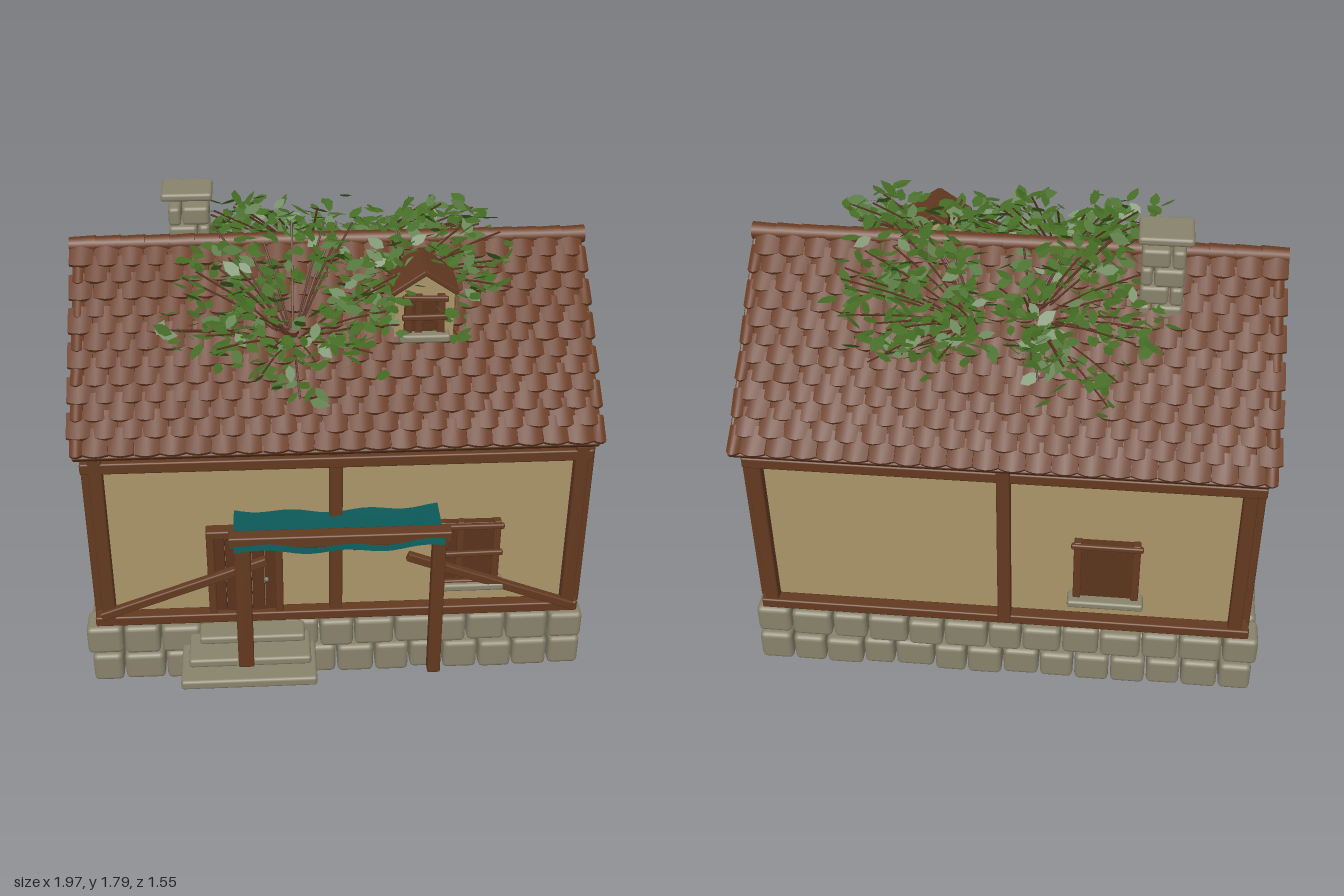
import * as THREE from 'three';
import { mergeGeometries } from 'three/addons/utils/BufferGeometryUtils.js';
import { RoundedBoxGeometry } from 'three/addons/geometries/RoundedBoxGeometry.js';

const mat = (name, color, side = THREE.FrontSide) => Object.assign(new THREE.MeshStandardMaterial({ color, side }), { name });
const M = {
  plaster: mat('plaster', 0xa99568), wood: mat('timber', 0x633920), dark: mat('dark timber', 0x5a331c),
  stone: mat('stone', 0x88826b), tile: mat('clay tile', 0x693b22), leaf: mat('leaf', 0x456c24, THREE.DoubleSide),
  bark: mat('bark', 0x5a3320), cloth: mat('teal cloth', 0x0c5858, THREE.DoubleSide), iron: mat('iron', 0x77736c),
};

let seed = 7;
const rnd = () => (seed = (seed * 16807) % 2147483647) / 2147483647;
const jit = (a) => (rnd() - 0.5) * 2 * a;

// Merge a list of geometries into one named mesh
function part(name, list, material) {
  const flat = list.map((g) => (g.index ? g.toNonIndexed() : g));
  const mesh = new THREE.Mesh(mergeGeometries(flat), material);
  mesh.name = name;
  return mesh;
}
// Softly bevelled box from its minimum and maximum corners
function block(x0, x1, y0, y1, z0, z1, r = 0.006, seg = 1) {
  return new RoundedBoxGeometry(x1 - x0, y1 - y0, z1 - z0, seg, r).translate((x0 + x1) / 2, (y0 + y1) / 2, (z0 + z1) / 2);
}
function polyShape(points) {
  return new THREE.Shape(points.map(([x, y]) => new THREE.Vector2(x, y)));
}
// Plank between two points in a front-facing plane
function plank(x0, y0, x1, y1, z, w = 0.036, d = 0.03) {
  return new RoundedBoxGeometry(Math.hypot(x1 - x0, y1 - y0), w, d, 1, 0.006)
    .rotateZ(Math.atan2(y1 - y0, x1 - x0)).translate((x0 + x1) / 2, (y0 + y1) / 2, z);
}
function tube(points, r, radial = 5, steps = 6) {
  return new THREE.TubeGeometry(new THREE.CatmullRomCurve3(points), steps, r, radial);
}

const RIDGE_Y = 1.615, RIDGE_Z = -0.11, SLOPE = 0.712, LENGTH = 0.845;
const roofY = (z) => RIDGE_Y - Math.abs(z - RIDGE_Z) * Math.tan(SLOPE);

// One curved roof tile: bulging across, rounded at its lower end
function tileGeometry(w) {
  const g = new THREE.BoxGeometry(w * 0.99, 0.1, 0.016, 4, 1, 1);
  const p = g.attributes.position;
  for (let i = 0; i < p.count; i++) {
    const c = Math.cos((p.getX(i) / w) * Math.PI);
    p.setZ(i, p.getZ(i) + 0.012 * c);
    if (p.getY(i) < 0) p.setY(i, p.getY(i) - 0.014 * c);
  }
  g.computeVertexNormals();
  return g;
}
function roofSide(dir) {
  const tiles = [], rows = 12, n = 21, w = 1.955 / n;
  for (let r = 0; r < rows; r++) {
    const half = r % 2;
    for (let i = 0; i < n + half; i++) {
      const first = half && i === 0;
      const last = half && i === n;
      const tw = first || last ? w / 2 : w;
      const x = -0.995 + (first ? w / 4 : last ? 1.955 - w / 4 : (i + 0.5 - half * 0.5) * w) + half * 0.014;
      tiles.push(tileGeometry(tw).rotateX(-0.11 + jit(0.02)).rotateZ(jit(0.03))
        .translate(dir * x, -0.035 - (r * (LENGTH - 0.095)) / (rows - 1), 0.012 + jit(0.003)));
    }
  }
  const place = (g) => {
    g.rotateX(SLOPE - Math.PI / 2);
    if (dir < 0) g.rotateY(Math.PI);
    return g.translate(0, RIDGE_Y, RIDGE_Z);
  };
  const deck = block(-0.975, 0.955, -LENGTH, 0, -0.022, 0.006);
  return [part('roofTiles', tiles.map(place), M.tile), part('roofDeck', [place(deck)], M.dark)];
}

// Shuttered window facing +z, with its base at the origin; bars lists the heights of its cross slats
function windowUnit(w, h, bars = [0.1, 0.53, 0.95]) {
  const g = new THREE.Group(), b = w / 2;
  g.name = 'window';
  g.add(part('shutter', [block(-b, b, 0.02, h - 0.01, -0.02, 0.012, 0.003)], M.dark));
  const frame = [-b + 0.015, -b * 0.3, b - 0.015].filter((x, i) => i !== 1 || bars.length > 1)
    .map((x) => block(x - 0.014, x + 0.014, 0.02, h, -0.01, 0.024, 0.004));
  bars.forEach((f) => frame.push(plank(-b - 0.01, h * f + jit(0.004), b + 0.01, h * f + jit(0.004), 0.024, 0.022, 0.02)));
  g.add(part('windowFrame', frame, M.wood));
  g.add(part('windowSill', [block(-b - 0.02, b + 0.02, 0, 0.032, -0.02, 0.052, 0.01)], M.stone));
  return g;
}

// Foundation: two courses of rounded stones, an outer and an inner ring
function foundation() {
  const list = [];
  const run = (n, a, b, y0, y1, fn) => {
    const cuts = Array.from({ length: n + 1 }, (_, i) => a + ((b - a) * i) / n + (i && i < n ? jit(0.014) : 0));
    for (let i = 0; i < n; i++) list.push(fn(cuts[i] + 0.004, cuts[i + 1] - 0.004, y0 + jit(0.005), y1 + jit(0.005)));
  };
  const alongX = (z, d) => (a, b, y0, y1) => {
    const o = z + jit(0.007);
    return block(a, b, y0, y1, o - d, o + d, 0.02, 2);
  };
  const alongZ = (x, d) => (a, b, y0, y1) => {
    const o = x + jit(0.007);
    return block(o - d, o + d, y0, y1, a, b, 0.02, 2);
  };
  [[0.01, 0.138, 0.015], [0.148, 0.272, 0]].forEach(([y0, y1, s]) => {
    [0.46, -0.675].forEach((z) => run(s ? 14 : 13, -1 + s, 0.97, y0, y1, alongX(z, 0.064)));
    [-0.925, 0.905].forEach((x) => run(s ? 7 : 8, -0.605, 0.39, y0, y1, alongZ(x, 0.065)));
    [0.33, -0.545].forEach((z) => run(12, -0.85, 0.83, y0, y1, alongX(z, 0.058)));
    [-0.795, 0.775].forEach((x) => run(6, -0.48, 0.265, y0, y1, alongZ(x, 0.058)));
  });
  return part('foundationStones', list, M.stone);
}

// Leafy tree growing through the roof
function tree() {
  const g = new THREE.Group(), wood = [], leaves = [];
  g.name = 'tree';
  const V = (x, y, z) => new THREE.Vector3(x, y, z);
  wood.push(new THREE.CylinderGeometry(0.06, 0.1, 0.98, 8).translate(0, 0.67, -0.1));
  for (let i = 0; i < 6; i++) {
    wood.push(new THREE.ConeGeometry(0.06, 0.19, 5).rotateZ(-1.75).translate(0.1, 0.21, 0)
      .rotateY(i * 1.05 + jit(0.2)).translate(0, 0, -0.1));
  }
  const outline = new THREE.Shape();
  outline.moveTo(0, 0).quadraticCurveTo(0.042, 0.03, 0, 0.076).quadraticCurveTo(-0.042, 0.03, 0, 0);
  const leaf = new THREE.ShapeGeometry(outline, 3).rotateX(-Math.PI / 2);
  // bough root x, z; spread centre x, z; spread radii x, z; twigs
  [[-0.16, 0.2, -0.2, 0.19, 0.46, 0.27, 30], [0.28, 0.02, 0.4, 0.09, 0.31, 0.17, 16],
    [-0.08, -0.33, -0.27, -0.38, 0.33, 0.25, 24], [0.12, -0.35, 0.36, -0.38, 0.27, 0.23, 22]]
    .forEach(([bx, bz, cx, cz, rx, rz, n]) => {
      const base = V(bx, roofY(bz), bz);
      wood.push(tube([V(0, 1.05, -0.1), V(bx * 0.6, 1.2, bz * 0.6 - 0.04), base, base.clone().add(V(0, 0.05, 0))], 0.022, 6));
      for (let t = 0; t < n; t++) {
        const a = (t / n) * Math.PI * 2 + jit(0.2), r = 0.3 + 0.7 * Math.sqrt(rnd());
        const x = cx + Math.cos(a) * rx * r, z = cz + Math.sin(a) * rz * r;
        const end = V(x, Math.min(1.73, roofY(z) + 0.05 + rnd() * 0.24), z);
        const mid = base.clone().lerp(end, 0.5);
        mid.y = Math.max(mid.y, roofY(mid.z) + 0.04) + 0.02;
        wood.push(tube([base, mid, end], 0.004, 4));
        for (let k = 0; k < 15; k++) {
          const p = mid.clone().lerp(end, rnd() * 1.05).add(V(jit(0.07), jit(0.07), jit(0.06)));
          // a few leaves hang down below the roof deck
          const low = roofY(p.z) + (k % 8 ? 0.04 : -0.09);
          p.y = k % 8 ? Math.min(1.75, Math.max(p.y, low)) : low;
          const s = 0.75 + rnd() * 0.4;
          leaves.push(leaf.clone().scale(s, s, s).rotateX(jit(0.7)).rotateZ(jit(0.7)).rotateY(rnd() * 6.28).translate(p.x, p.y, p.z));
        }
      }
    });
  g.add(part('branches', wood, M.bark), part('leaves', leaves, M.leaf));
  return g;
}

function dormer() {
  const g = new THREE.Group();
  g.name = 'dormer';
  const body = new THREE.ExtrudeGeometry(polyShape([[-0.11, 0], [0.11, 0], [0.11, 0.19], [0, 0.262], [-0.11, 0.19]]), { depth: 0.24, bevelEnabled: false });
  g.add(part('dormerWall', [body.translate(0, 0, -0.24)], M.plaster));
  g.add(part('dormerRoof', [-1, 1].map((s) => new RoundedBoxGeometry(0.15, 0.02, 0.22, 1, 0.005)
    .rotateZ(-s * 0.6).translate(s * 0.059, 0.237, -0.09)), M.wood));
  const win = windowUnit(0.15, 0.18);
  win.position.set(0, 0.01, 0.002);
  g.add(win);
  g.position.set(0.325, 1.36, 0.225);
  return g;
}

// Awning with two posts, a beam and a wavy cloth
function awning() {
  const g = new THREE.Group();
  g.name = 'awning';
  g.add(part('awningFrame', [block(-0.4, -0.34, 0.2, 0.78, 0.645, 0.695), block(0.33, 0.38, 0.14, 0.78, 0.645, 0.695),
    block(-0.42, 0.4, 0.76, 0.81, 0.64, 0.695)], M.wood));
  const cloth = new THREE.PlaneGeometry(0.77, 0.26, 24, 8).rotateX(-Math.PI / 2);
  const p = cloth.attributes.position;
  for (let i = 0; i < p.count; i++) {
    const x = p.getX(i), z = p.getZ(i);
    p.setY(i, 0.785 - 0.024 * Math.cos(x * 4) * Math.cos(z * 7) + 0.008 * Math.sin(x * 22 + z * 8));
  }
  cloth.computeVertexNormals();
  g.add(part('awningCloth', [cloth.translate(-0.015, 0, 0.605)], M.cloth));
  return g;
}

export function createModel() {
  const model = new THREE.Group();
  model.name = 'cottage';
  model.add(foundation());

  // Plastered walls with gable ends; shape x is -z of the house
  const wall = new THREE.ExtrudeGeometry(polyShape([[-0.455, 0.28], [0.655, 0.28], [0.655, 1.06], [0.62, 1.08], [0.11, 1.53], [-0.4, 1.08], [-0.455, 1.06]]),
    { depth: 1.76, bevelEnabled: false }).rotateY(Math.PI / 2).translate(-0.88, 0, 0);
  model.add(part('walls', [wall], M.plaster));

  // Timber frame
  const beams = [];
  [[0.49, 1], [-0.69, -1]].forEach(([z, s]) => {
    [-0.9, 0.9].forEach((x) => {
      beams.push(block(x - 0.026, x + 0.026, 0.28, 1.05, z - 0.022, z + 0.022));
      const side = Math.sign(x) * 0.942, zc = z - s * 0.06;
      beams.push(block(side - 0.018, side + 0.018, 0.28, 1.08, zc - 0.027, zc + 0.027));
    });
    beams.push(block(-0.04, 0.01, 0.29, 1.06, z - 0.04, z + 0.01));
    [[0.275, 0.317], [0.985, 1.03], [1.05, 1.07]].forEach(([a, b]) => beams.push(block(-0.955, 0.94, a, b, z - 0.03, z + 0.022)));
  });
  [-0.915, 0.915].forEach((x) => {
    beams.push(block(x - 0.03, x + 0.03, 0.29, 1.08, -0.125, -0.078));
    [[0.275, 0.317], [0.985, 1.03]].forEach(([a, b]) => beams.push(block(x - 0.036, x + 0.028, a, b, -0.71, 0.51)));
  });
  beams.push(plank(-0.93, 0.325, -0.28, 0.57, 0.508), plank(0.26, 0.57, 0.92, 0.305, 0.508));
  model.add(part('timberFrame', beams, M.wood));

  // Roof and ridge caps
  [1, -1].forEach((s) => model.add(...roofSide(s)));
  model.add(part('ridgeCaps', Array.from({ length: 21 }, (_, i) => new THREE.CylinderGeometry(0.03, 0.034, 0.1, 10)
    .rotateZ(Math.PI / 2 + jit(0.03)).translate(-0.945 + i * 0.0935, RIDGE_Y + 0.01, RIDGE_Z)), M.tile));

  // Door, frame and handle
  const planks = Array.from({ length: 5 }, (_, i) => block(-0.49 + i * 0.05, -0.442 + i * 0.05, 0.3, 0.67, 0.45, 0.485 + (i % 2) * 0.004, 0.004));
  model.add(part('door', planks, M.dark));
  model.add(part('doorFrame', [block(-0.51, -0.48, 0.28, 0.7, 0.45, 0.505), block(-0.25, -0.22, 0.28, 0.7, 0.45, 0.505),
    block(-0.51, -0.22, 0.67, 0.705, 0.45, 0.505)], M.wood));
  model.add(part('doorHandle', [new THREE.SphereGeometry(0.01, 8, 6).translate(-0.285, 0.47, 0.497)], M.iron));

  // Entrance steps
  model.add(part('steps', [block(-0.62, -0.1, 0.16, 0.2, 0.54, 0.768, 0.012, 2), block(-0.59, -0.12, 0.2, 0.237, 0.52, 0.69, 0.012, 2),
    block(-0.55, -0.14, 0.237, 0.272, 0.5, 0.6, 0.012, 2)], M.stone));

  // Windows: x, y, z, turn, width, height, slats
  [[0.5, 0.4, 0.475, 0, 0.24, 0.31], [0.92, 0.385, -0.17, Math.PI / 2, 0.25, 0.31],
    [-0.91, 0.385, 0.13, -Math.PI / 2, 0.25, 0.31], [-0.4, 0.385, -0.67, Math.PI, 0.25, 0.31, [0.95]]].forEach(([x, y, z, turn, w, h, bars]) => {
    const win = windowUnit(w, h, bars);
    win.position.set(x, y, z);
    win.rotation.y = turn;
    model.add(win);
  });

  // Scalloped board hanging beside the window
  const scallop = new THREE.Shape();
  scallop.moveTo(0.04, 0.7).lineTo(0.42, 0.69).lineTo(0.42, 0.66);
  for (let i = 0; i < 5; i++) scallop.quadraticCurveTo(0.382 - i * 0.076, 0.69, 0.344 - i * 0.076, 0.662);
  const board = new THREE.ExtrudeGeometry(scallop, { depth: 0.02, bevelEnabled: false, curveSegments: 4 });
  model.add(part('hangingBoard', [board.translate(0, 0, 0.53), block(0.045, 0.075, 0.625, 0.68, 0.48, 0.54), block(0.39, 0.415, 0.62, 0.68, 0.48, 0.54)], M.wood));

  // Chimney of stacked stones with a cap
  const stack = [];
  for (let i = 0; i < 5; i++) {
    const y = 1.36 + i * 0.076;
    const s = i % 2 ? -0.51 : -0.57;
    stack.push(block(-0.62, s - 0.003, y, y + 0.073, -0.315, -0.17, 0.014, 2), block(s + 0.003, -0.465, y, y + 0.073, -0.31, -0.175, 0.014, 2));
  }
  stack.push(block(-0.645, -0.45, 1.765, 1.797, -0.33, -0.165, 0.012, 2));
  model.add(part('chimney', stack, M.stone));

  model.add(dormer(), awning(), tree());
  return model;
}
